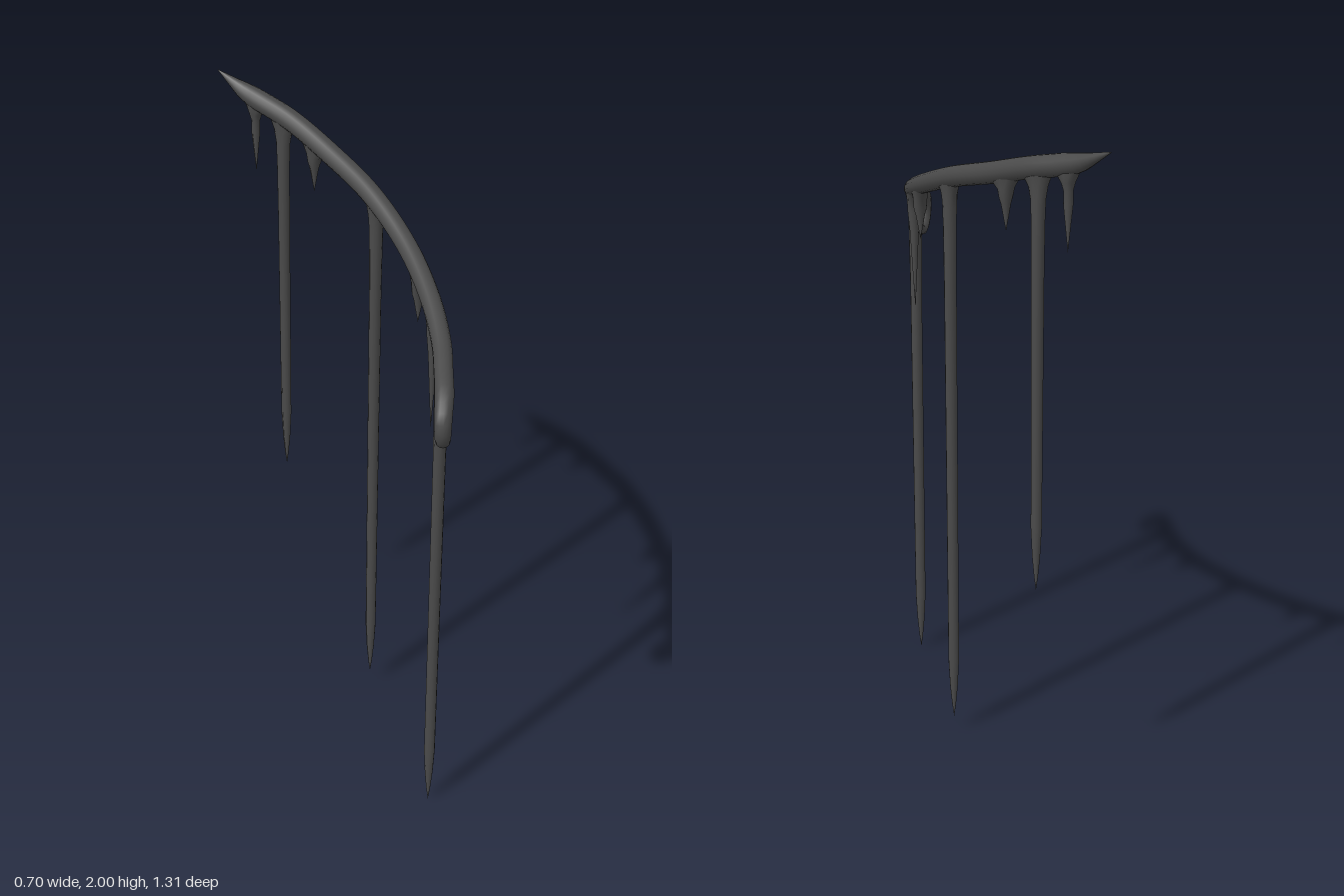
import * as THREE from 'three';

// Rail centreline: x, y, z, radius, from the pointed tip to the end of the curl
const RAIL = [
  [0.32, 2.0, -0.655, 0.001],
  [0.32, 1.958, -0.555, 0.027],
  [0.318, 1.943, -0.5, 0.032],
  [0.31, 1.913, -0.37, 0.032],
  [0.275, 1.865, -0.2, 0.032],
  [0.212, 1.81, 0, 0.031],
  [0.112, 1.74, 0.2, 0.03],
  [-0.01, 1.676, 0.365, 0.029],
  [-0.13, 1.625, 0.485, 0.028],
  [-0.22, 1.595, 0.553, 0.027],
  [-0.285, 1.57, 0.6, 0.027],
  [-0.322, 1.538, 0.622, 0.026],
  [-0.332, 1.497, 0.629, 0.024],
  [-0.32, 1.459, 0.622, 0.022],
  [-0.291, 1.441, 0.604, 0.019],
  [-0.265, 1.458, 0.588, 0.014],
  [-0.257, 1.492, 0.583, 0.007],
];
const curve = new THREE.CatmullRomCurve3(RAIL.map(([x, y, z]) => new THREE.Vector3(x, y, z)));

function railRadius(t) {
  const f = t * (RAIL.length - 1);
  const i = Math.min(Math.floor(f), RAIL.length - 2);
  return THREE.MathUtils.lerp(RAIL[i][3], RAIL[i + 1][3], f - i);
}

// Tube whose rings are rescaled along its length
function railGeometry() {
  const steps = 72, sides = 14;
  const geo = new THREE.TubeGeometry(curve, steps, 1, sides);
  const pos = geo.attributes.position;
  const v = new THREE.Vector3();
  for (let i = 0; i <= steps; i++) {
    const c = curve.getPointAt(i / steps);
    const r = i === steps ? 0.0005 : railRadius(curve.getUtoTmapping(i / steps));
    for (let j = 0; j <= sides; j++) {
      const k = i * (sides + 1) + j;
      v.fromBufferAttribute(pos, k).sub(c).multiplyScalar(r).add(c);
      pos.setXYZ(k, v.x, v.y, v.z);
    }
  }
  return geo;
}

// Curve parameter on the main run of the rail at a given z
function railAt(z) {
  let lo = 0, hi = 11 / (RAIL.length - 1);
  for (let i = 0; i < 30; i++) {
    const mid = (lo + hi) / 2;
    if (curve.getPoint(mid).z < z) lo = mid; else hi = mid;
  }
  return lo;
}

// Hanging spike: profile is [radius, depth below the rail centre]; its root
// flares along the rail only and leans with the rail's slope
function spike(name, z, profile, material) {
  const t = railAt(z), p = curve.getPoint(t), dir = curve.getTangent(t);
  const flat = Math.hypot(dir.x, dir.z), slope = dir.y / flat;
  const points = profile.map(([r, d]) => new THREE.Vector2(r, -d)).reverse();
  const geo = new THREE.LatheGeometry(points, 12);
  const pos = geo.attributes.position;
  for (let i = 0; i < pos.count; i++) {
    const x = pos.getX(i), y = pos.getY(i), w = pos.getZ(i);
    const r = Math.hypot(x, w);
    const squash = r > 0.02 ? (0.02 + (r - 0.02) * 0.08) / r : 1;
    const lean = THREE.MathUtils.clamp(1 + (y + 0.03) / 0.1, 0, 1);
    pos.setXYZ(i, x, y + x * slope * lean, w * squash);
  }
  geo.computeVertexNormals();
  const mesh = new THREE.Mesh(geo, material);
  mesh.name = name;
  mesh.position.copy(p);
  mesh.rotation.y = Math.atan2(-dir.z, dir.x);
  return mesh;
}

export function createModel() {
  const iron = new THREE.MeshStandardMaterial({ color: 0x4a4a4a });
  iron.name = 'dark iron';
  const group = new THREE.Group();
  group.name = 'curledRail';

  const rail = new THREE.Mesh(railGeometry(), iron);
  rail.name = 'rail';
  group.add(rail);

  // Long posts: z, bottom height, root flare
  for (const [z, bottom, flare] of [[0.515, 0, 1.25], [0.03, 0.05, 0.8], [-0.4, 0.66, 0.8]]) {
    const len = curve.getPoint(railAt(z)).y - bottom;
    group.add(spike('post', z, [
      [0.085 * flare, 0.015], [0.058 * flare, 0.032], [0.04 * flare, 0.055],
      [0.029 * flare, 0.09], [0.022 * Math.max(flare, 0.9), 0.16], [0.0185, 0.32],
      [0.0165, len - 0.2], [0.012, len - 0.11], [0.006, len - 0.045], [0, len],
    ], iron));
  }

  // Short spikes: z, bottom height
  for (const [z, bottom] of [[0.4, 1.27], [0.28, 1.54], [-0.265, 1.71], [-0.51, 1.7]]) {
    const len = curve.getPoint(railAt(z)).y - bottom;
    const flare = z === -0.51 ? 0.6 : 0.9;
    group.add(spike('shortSpike', z, [
      [0.085 * flare, 0.015], [0.056 * flare, 0.032], [0.034 * flare, 0.05],
      [0.022 * flare, 0.075], [0.014, 0.075 + (len - 0.075) * 0.2],
      [0.008, 0.075 + (len - 0.075) * 0.55], [0, len],
    ], iron));
  }
  return group;
}
